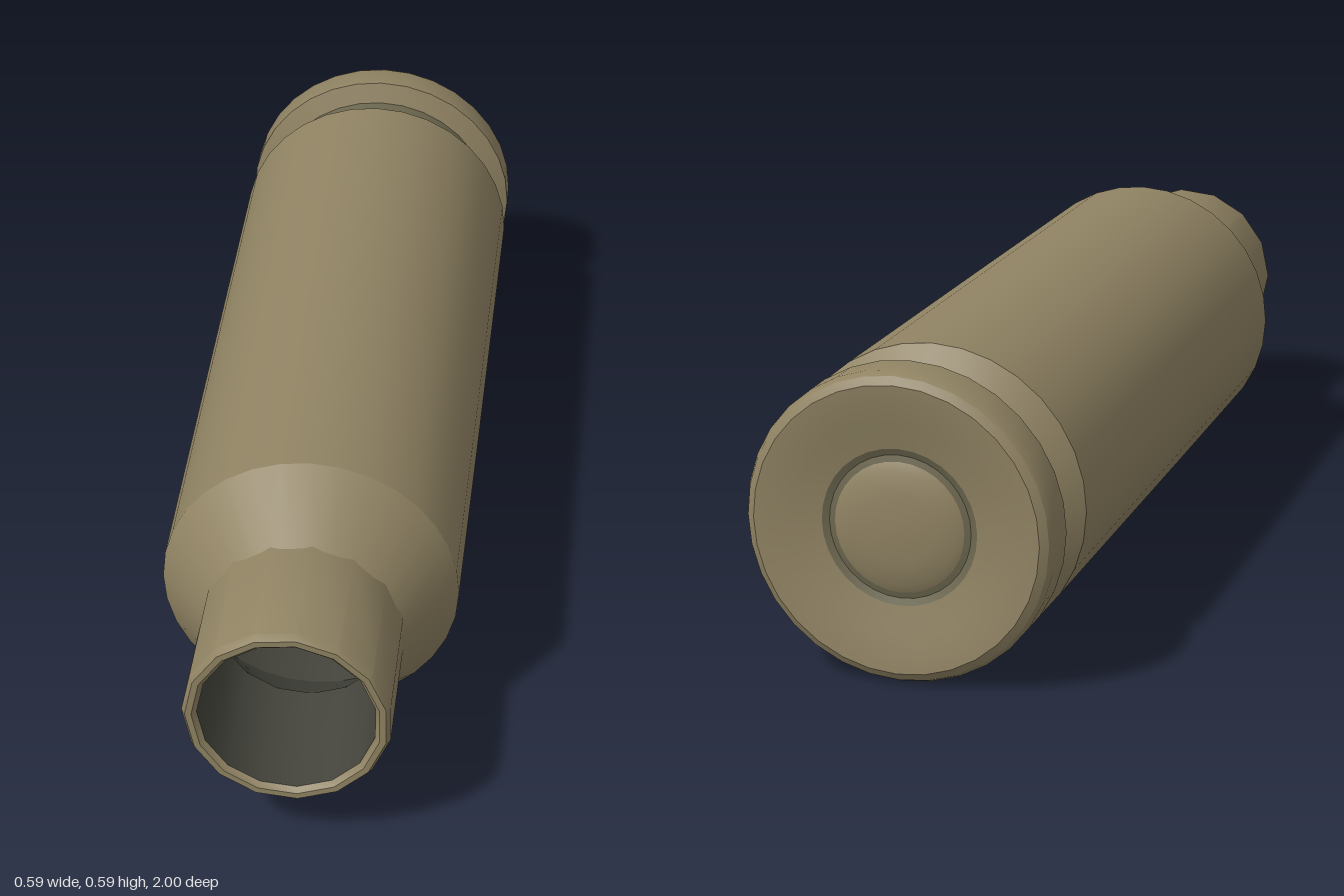
import * as THREE from 'three';
import { toCreasedNormals } from 'three/addons/utils/BufferGeometryUtils.js';

const AXIS_Y = 0.3;
const NECK_SIDES = 15;
const NECK_TURN = THREE.MathUtils.degToRad(6);

function material(name, color) {
  const m = new THREE.MeshStandardMaterial({ color });
  m.name = name;
  return m;
}

// Revolves [radius, z] points, listed back to front for outward faces, around the long axis.
function turned(name, points, mat, sides = 32, turn = 0) {
  const profile = points.map(([r, z]) => new THREE.Vector2(r, z));
  const lathe = new THREE.LatheGeometry(profile, sides, turn);
  lathe.rotateX(Math.PI / 2);
  const mesh = new THREE.Mesh(toCreasedNormals(lathe, 0.5), mat);
  mesh.name = name;
  return mesh;
}

export function createModel() {
  const brass = material('brass', 0x908363);
  const grime = material('tarnished brass', 0x6c674f);
  const soot = material('sooty interior', 0x45453d);

  const casing = new THREE.Group();
  casing.name = 'cartridgeCase';
  casing.position.y = AXIS_Y;

  casing.add(
    // Domed primer in the dished base
    turned('primer', [[0, -0.992], [0.07, -0.989], [0.11, -0.982], [0.125, -0.975]], brass),
    turned('primerSeam', [[0.125, -0.975], [0.137, -0.972], [0.15, -0.977]], grime),
    // Rim with bevelled edges
    turned('rim', [
      [0.15, -0.977], [0.2, -0.987], [0.245, -0.997], [0.275, -1],
      [0.29, -0.99], [0.297, -0.975], [0.297, -0.91], [0.254, -0.895],
    ], brass),
    turned('extractorGroove', [[0.254, -0.895], [0.252, -0.83]], grime),
    // Slightly tapered body and its shoulder
    turned('body', [
      [0.252, -0.83], [0.297, -0.79], [0.293, 0], [0.289, 0.59],
    ], brass),
    turned('shoulder', [[0.289, 0.59], [0.186, 0.74]], brass),
    // Neck, rolled lip and hollow bore
    turned('neck', [
      [0.196, 0.7], [0.196, 0.985], [0.188, 1], [0.176, 1], [0.167, 0.99],
    ], brass, NECK_SIDES, NECK_TURN),
    turned('bore', [[0.167, 0.99], [0.165, 0.72]], soot, NECK_SIDES, NECK_TURN),
    turned('chamber', [[0.165, 0.72], [0.26, 0.57], [0.26, -0.75], [0, -0.75]], soot),
  );

  const model = new THREE.Group();
  model.name = 'model';
  model.add(casing);
  return model;
}
